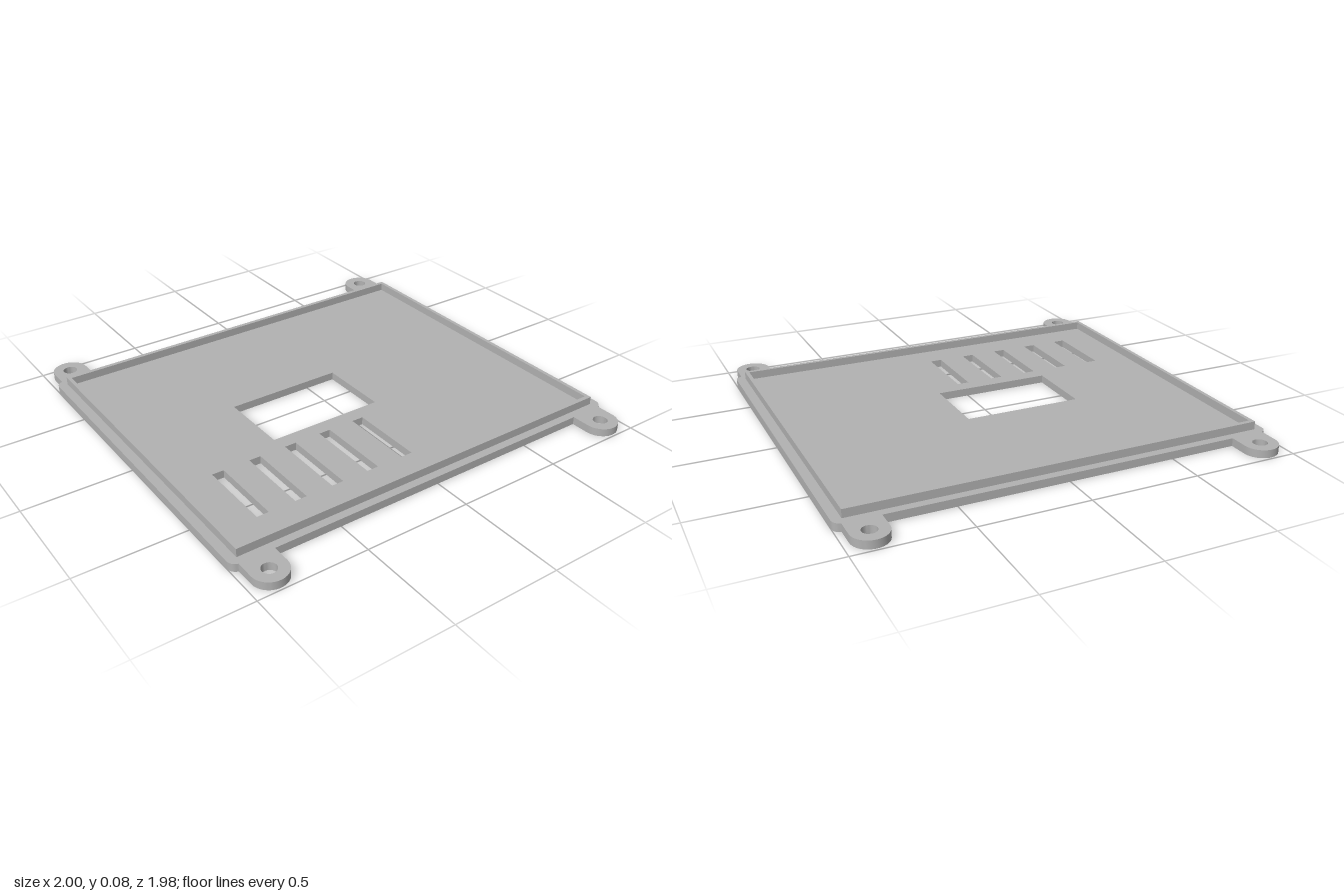
import * as THREE from 'three';
import { toCreasedNormals } from 'three/addons/utils/BufferGeometryUtils.js';

const PLATE = 0.037, RIM = 0.038;

// Points along an arc, angles in degrees
function arc(cx, cz, r, from, to, steps) {
  return Array.from({ length: steps + 1 }, (_, i) => {
    const a = THREE.MathUtils.degToRad(from + (to - from) * i / steps);
    return new THREE.Vector2(cx + r * Math.cos(a), cz + r * Math.sin(a));
  });
}

function rect(x0, z0, x1, z1) {
  return [[x0, z0], [x1, z0], [x1, z1], [x0, z1]].map(p => new THREE.Vector2(...p));
}

// Extrudes an outline drawn in x and z upwards from the given height
function slab(outline, holes, bottom, height) {
  const shape = new THREE.Shape(outline);
  shape.holes = holes.map(h => new THREE.Path(h));
  const g = new THREE.ExtrudeGeometry(shape, { depth: height, bevelEnabled: false });
  g.rotateX(Math.PI / 2).translate(0, bottom + height, 0);
  return toCreasedNormals(g, 0.6);
}

export function createModel() {
  const group = new THREE.Group();
  group.name = 'enclosureLid';
  const grey = new THREE.MeshStandardMaterial({ color: 0xb2b2b2 });
  grey.name = 'grey';
  const add = (name, geometry) => {
    const mesh = new THREE.Mesh(geometry, grey);
    mesh.name = name;
    group.add(mesh);
  };

  // One quarter of the plate outline: rounded corner, then mounting ear
  const quarter = [
    ...arc(0.96, 0.785, 0.04, 0, 75.5, 6),
    ...arc(0.89, 0.91, 0.08, 0, 180, 24),
    new THREE.Vector2(0.81, 0.825),
  ];
  const mirror = (sx, sz) => {
    const pts = quarter.map(p => new THREE.Vector2(p.x * sx, p.y * sz));
    return sx * sz < 0 ? pts.reverse() : pts;
  };
  const outline = [...mirror(1, 1), ...mirror(-1, 1), ...mirror(-1, -1), ...mirror(1, -1)];

  // Display window, vent slots and screw holes
  const holes = [rect(-0.41, -0.145, 0.15, 0.197)];
  for (let i = 0; i < 5; i++) {
    const x = -0.737 + i * 0.1825;
    holes.push(rect(x - 0.028, 0.27, x + 0.028, 0.623));
  }
  for (const sx of [-1, 1]) for (const sz of [-1, 1]) {
    holes.push(arc(sx * 0.89, sz * 0.91, 0.033, 0, 345, 23));
  }
  add('plate', slab(outline, holes, 0, PLATE));

  // Raised locating rim
  add('rim', slab(rect(-0.957, -0.787, 0.957, 0.787),
    [rect(-0.939, -0.767, 0.939, 0.767)], PLATE, RIM));

  return group;
}
